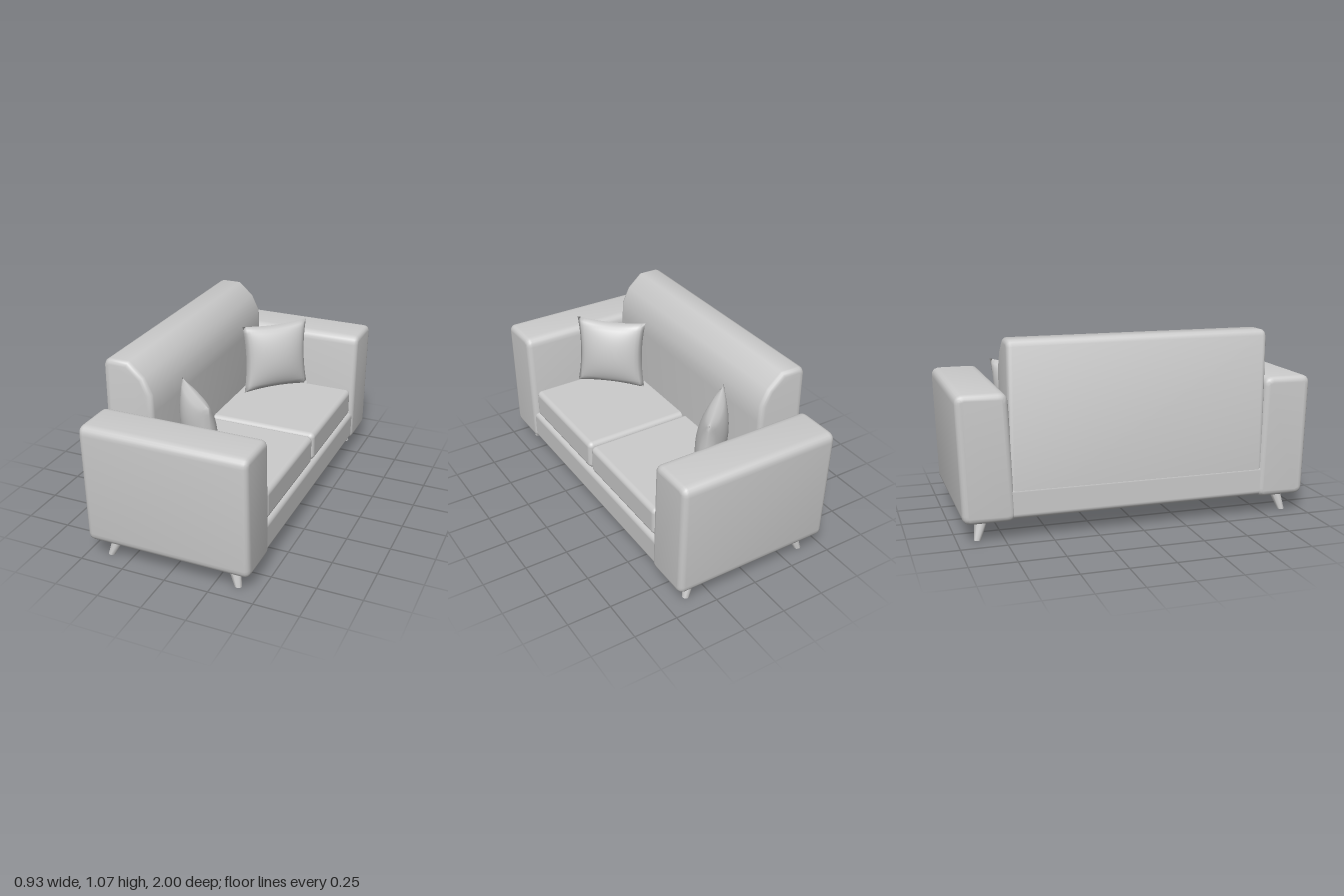
import * as THREE from 'three';
import { mergeVertices, mergeGeometries, toCreasedNormals } from 'three/addons/utils/BufferGeometryUtils.js';
import { RoundedBoxGeometry } from 'three/addons/geometries/RoundedBoxGeometry.js';

const material = new THREE.MeshStandardMaterial({ color: 0xcccccc });

function addMesh(parent, name, geometry, x = 0, y = 0, z = 0) {
  const mesh = new THREE.Mesh(geometry, material);
  mesh.name = name;
  mesh.position.set(x, y, z);
  parent.add(mesh);
  return mesh;
}

// Closed outline with softened corners
function roundedShape(points, r) {
  const p = points.map(([x, y]) => new THREE.Vector2(x, y));
  const shape = new THREE.Shape();
  p.forEach((c, i) => {
    const prev = p[(i + p.length - 1) % p.length];
    const next = p[(i + 1) % p.length];
    const a = c.clone().add(prev.clone().sub(c).setLength(r));
    const b = c.clone().add(next.clone().sub(c).setLength(r));
    if (i === 0) shape.moveTo(a.x, a.y);
    else shape.lineTo(a.x, a.y);
    shape.quadraticCurveTo(c.x, c.y, b.x, b.y);
  });
  shape.closePath();
  return shape;
}

// Extrusion of a given total length, centred, with rounded rims inside the outline
function softExtrude(shape, length, bevel) {
  const geometry = new THREE.ExtrudeGeometry(shape, {
    depth: length - 2 * bevel, curveSegments: 5,
    bevelThickness: bevel, bevelSize: bevel, bevelOffset: -bevel, bevelSegments: 4,
  });
  geometry.translate(0, 0, bevel - length / 2);
  return toCreasedNormals(geometry, 0.9);
}

// Square pillow: two bulging sheets sewn along a pinched edge
function pillowGeometry(size, thickness) {
  const sheets = [1, -1].map((side) => {
    const sheet = new THREE.PlaneGeometry(2, 2, 20, 20);
    if (side < 0) sheet.rotateY(Math.PI);
    const pos = sheet.attributes.position;
    for (let i = 0; i < pos.count; i++) {
      const u = pos.getX(i), v = pos.getY(i);
      const a = Math.max(0, 1 - u * u), b = Math.max(0, 1 - v * v);
      pos.setXYZ(i,
        u * (1 - 0.09 * b) * size / 2,
        v * (1 - 0.07 * a) * size / 2,
        side * thickness / 2 * Math.pow(a * b, 0.55));
    }
    sheet.deleteAttribute('uv');
    sheet.deleteAttribute('normal');
    return sheet;
  });
  const geometry = mergeVertices(mergeGeometries(sheets), 1e-4);
  geometry.computeVertexNormals();
  return geometry;
}

// Tapered leg whose foot is splayed outwards
function legGeometry(sx, sz) {
  const h = 0.14;
  const geometry = new THREE.CylinderGeometry(0.042, 0.02, h, 8);
  geometry.translate(0, h / 2, 0);
  const pos = geometry.attributes.position;
  for (let i = 0; i < pos.count; i++) {
    const y = pos.getY(i);
    pos.setX(i, pos.getX(i) + sx * (0.374 - 0.35 * y));
    pos.setZ(i, pos.getZ(i) + sz * (0.89 - 0.28 * y));
  }
  return toCreasedNormals(geometry, 0.9);
}

export function createModel() {
  const sofa = new THREE.Group();
  sofa.name = 'sofa';

  // Base
  addMesh(sofa, 'base', new RoundedBoxGeometry(0.916, 0.178, 1.76, 4, 0.03), 0, 0.207, 0);

  // Backrest, profile in x and y
  const backProfile = new THREE.Shape([
    [-0.457, 0.15], [-0.18, 0.15], [-0.18, 0.8], [-0.185, 0.9], [-0.23, 0.99],
    [-0.315, 1.065], [-0.425, 1.065], [-0.445, 1.055], [-0.457, 1.033],
  ].map(([x, y]) => new THREE.Vector2(x, y)));
  addMesh(sofa, 'backrest', softExtrude(backProfile, 1.45, 0.028));

  const armOutline = [[0.692, 0.11], [0.977, 0.11], [1.0, 0.799], [0.724, 0.799]];

  for (const side of [1, -1]) {
    const label = side > 0 ? 'left' : 'right';

    // Arm, outline in z and y, running front to back
    const outline = armOutline.map(([z, y]) => [z * side, y]);
    if (side < 0) outline.reverse();
    const arm = addMesh(sofa, label + 'Arm', softExtrude(roundedShape(outline, 0.05), 0.93, 0.032));
    arm.rotation.y = -Math.PI / 2;

    // Seat cushion
    addMesh(sofa, label + 'SeatCushion',
      new RoundedBoxGeometry(0.65, 0.172, 0.69, 4, 0.03), 0.123, 0.38, side * 0.349);

    // Pillow leaning into the corner
    const pillow = addMesh(sofa, label + 'Pillow', pillowGeometry(0.425, 0.165),
      -0.005, 0.676, side * 0.545);
    pillow.rotation.order = 'YXZ';
    pillow.rotation.set(-0.09, side > 0 ? Math.PI * 0.75 : Math.PI * 0.25, 0);

    // Legs
    for (const sx of [1, -1]) {
      addMesh(sofa, label + (sx > 0 ? 'Front' : 'Back') + 'Leg', legGeometry(sx, side));
    }
  }
  return sofa;
}
